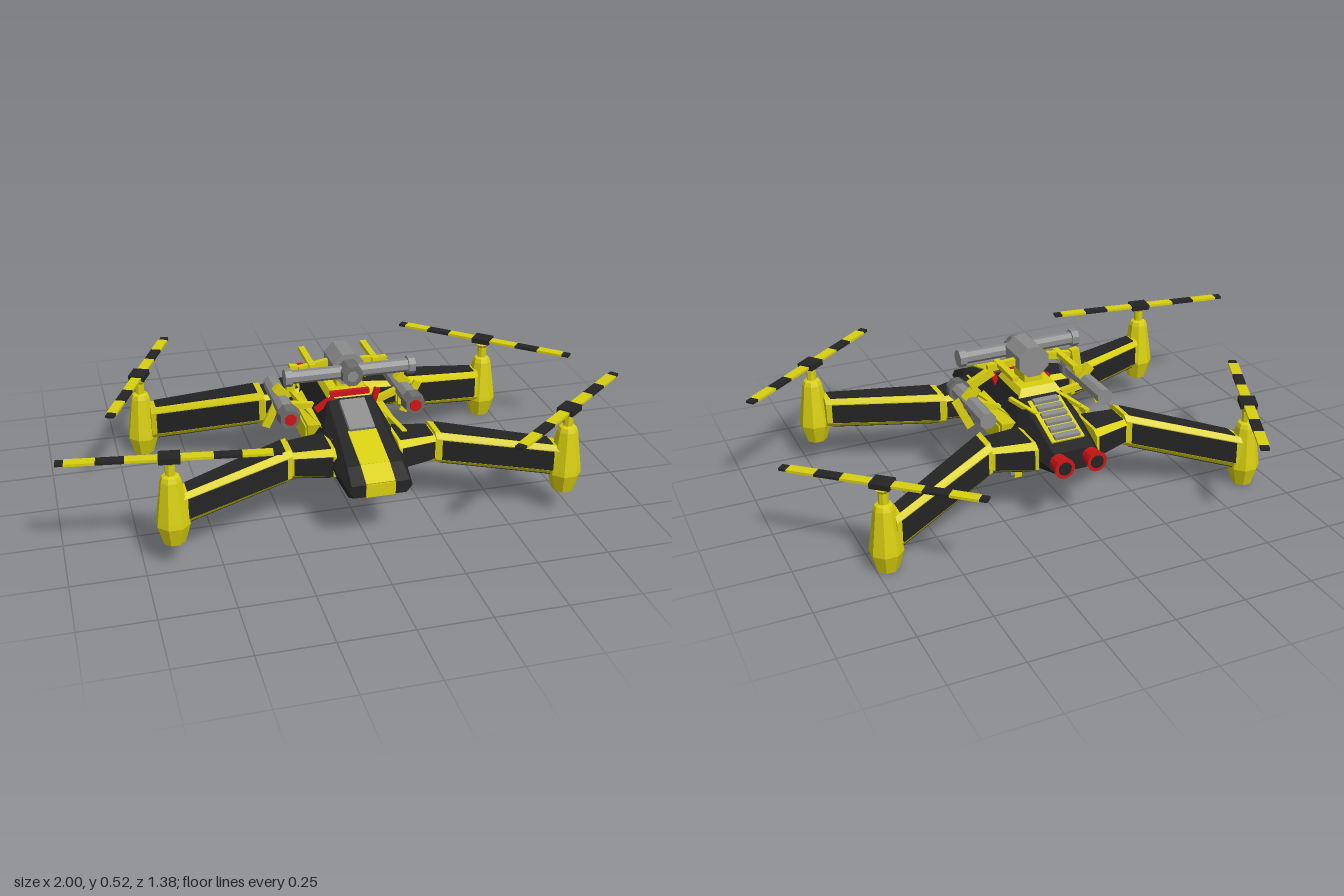
import * as THREE from 'three';
import { ConvexGeometry } from 'three/addons/geometries/ConvexGeometry.js';

const V = (x, y, z) => new THREE.Vector3(x, y, z);

export function createModel() {
  const material = (name, color) => {
    const m = new THREE.MeshStandardMaterial({ color, flatShading: true });
    m.name = name;
    return m;
  };
  const yellow = material('yellow', 0xd8cf10);
  const black = material('black', 0x242424);
  const grey = material('grey', 0x8c8c8c);
  const darkGrey = material('dark grey', 0x6c6c6c);
  const red = material('red', 0xd01414);

  const model = new THREE.Group();
  model.name = 'drone';
  const craft = new THREE.Group();
  craft.name = 'craft';
  craft.position.x = 0.03;
  model.add(craft);

  // ---- helpers ----
  const add = (name, geo, mat, parent = craft) => {
    const m = new THREE.Mesh(geo, mat);
    m.name = name;
    parent.add(m);
    return m;
  };
  const hull = (name, mat, pts, parent) => add(name, new ConvexGeometry(pts), mat, parent);
  const box = (name, mat, size, pos, parent) =>
    add(name, new THREE.BoxGeometry(...size).translate(...pos), mat, parent);
  // cylinder along an axis: r1 is the radius at the positive end
  const cyl = (name, mat, r1, r2, len, pos, axis = 'z', sides = 8) => {
    const g = new THREE.CylinderGeometry(r1, r2, len, sides).rotateY(Math.PI / sides);
    if (axis === 'z') g.rotateX(Math.PI / 2);
    if (axis === 'x') g.rotateZ(-Math.PI / 2);
    return add(name, g.translate(...pos), mat);
  };
  // thin plate on the quad a-b-c-d, shrunk by the fractions iu and iv
  const panel = (name, mat, [a, b, c, d], iu = 0.05, iv = 0.1, t = 0.004) => {
    const at = (u, v) => a.clone().lerp(b, u).lerp(d.clone().lerp(c, u), v);
    const n = c.clone().sub(a).cross(d.clone().sub(b)).setLength(t);
    const pts = [[iu, iv], [1 - iu, iv], [1 - iu, 1 - iv], [iu, 1 - iv]].map(([u, v]) => at(u, v));
    return hull(name, mat, pts.flatMap(p => [p.clone().add(n), p.clone().sub(n)]));
  };
  // square bar between two points
  const beam = (name, mat, a, b, w, h = w) => {
    const m = add(name, new THREE.BoxGeometry(w, h, a.distanceTo(b)), mat);
    m.position.copy(a).add(b).multiplyScalar(0.5);
    m.lookAt(b);
    return m;
  };

  // ---- fuselage: convex slices between six-sided rings ----
  const ring = ([z, hb, hm, ht, yb, ym, yt]) =>
    [[hb, yb], [hm, ym], [ht, yt]].flatMap(([h, y]) => [V(h, y, z), V(-h, y, z)]);
  const rings = [
    [0.51, 0.09, 0.11, 0.1, 0.19, 0.215, 0.235],
    [0.44, 0.09, 0.118, 0.095, 0.155, 0.23, 0.27],
    [0.28, 0.1, 0.14, 0.085, 0.16, 0.25, 0.315],
    [0.12, 0.1, 0.14, 0.08, 0.16, 0.25, 0.37],
    [-0.06, 0.1, 0.14, 0.08, 0.16, 0.25, 0.37],
    [-0.18, 0.1, 0.14, 0.08, 0.165, 0.25, 0.335],
    [-0.345, 0.07, 0.1, 0.075, 0.2, 0.235, 0.275],
  ].map(ring);
  for (let i = 0; i < rings.length - 1; i++) hull('fuselage', black, [...rings[i], ...rings[i + 1]]);
  const strip = (w, z0, y0, z1, y1) => [V(-w, y0, z0), V(w, y0, z0), V(w, y1, z1), V(-w, y1, z1)];
  panel('noseStripe', yellow, strip(0.05, 0.51, 0.236, 0.44, 0.271), 0, 0);
  panel('noseStripe', yellow, strip(0.05, 0.44, 0.271, 0.28, 0.316), 0, 0);
  panel('noseTip', yellow, strip(0.05, 0.511, 0.236, 0.511, 0.19), 0, 0);
  panel('windshield', grey, strip(0.045, 0.285, 0.322, 0.15, 0.37), 0, 0, 0.008);
  hull('belly', black, [[0.04, 0.17, 0.075], [-0.11, 0.17, 0.075], [0.015, 0.11, 0.055], [-0.075, 0.11, 0.055]]
    .flatMap(([z, y, w]) => [V(w, y, z), V(-w, y, z)]));

  // canopy roof and its red rim
  hull('roof', yellow, [[0.125, 0.365, 0.082], [-0.075, 0.365, 0.082], [0.11, 0.392, 0.066], [-0.055, 0.392, 0.066]]
    .flatMap(([z, y, w]) => [V(w, y, z), V(-w, y, z)]));
  beam('canopyRim', red, V(-0.07, 0.387, 0.12), V(0.07, 0.387, 0.12), 0.018);

  // rear deck louvres
  panel('louvreBed', yellow, strip(0.062, -0.1, 0.36, -0.3, 0.293), 0, 0, 0.004);
  for (let i = 0; i < 6; i++) {
    const slat = box('louvre', grey, [0.095, 0.018, 0.024], [0, 0, 0]);
    slat.position.set(0, 0.36 - i * 0.0115, -0.115 - i * 0.034);
    slat.rotation.x = -0.15;
  }

  // octagonal arm section at a given x
  const section = (x, y, z, h, w) =>
    [[0.7, 1], [1, 0.7], [1, -0.7], [0.7, -1], [-0.7, -1], [-1, -0.7], [-1, 0.7], [-0.7, 1]]
      .map(([a, b]) => V(x, y + b * h, z + a * w));
  // yellow chamfered strut with black panels on its four broad faces
  const strut = (name, p, q, iu, iv) => {
    hull(name, yellow, [...p, ...q]);
    for (const [i, j] of [[7, 0], [1, 2], [3, 4], [5, 6]])
      panel(name + 'Panel', black, [p[i], q[i], q[j], p[j]], iu, iv);
  };

  for (const s of [1, -1]) {
    // side panels, shoulder rails and rim edges
    const outer = [V(s * 0.155, 0.285, 0.14), V(s * 0.155, 0.285, -0.09), V(s * 0.155, 0.19, -0.09), V(s * 0.155, 0.19, 0.14)];
    hull('sidePanel', yellow, [...outer,
      V(s * 0.1, 0.305, 0.185), V(s * 0.1, 0.305, -0.13), V(s * 0.1, 0.17, -0.13), V(s * 0.1, 0.17, 0.185)]);
    panel('sidePlate', yellow, outer, 0.08, 0.14, 0.005);
    beam('deckRail', yellow, V(s * 0.125, 0.285, 0.28), V(s * 0.125, 0.295, -0.14), 0.018);
    beam('canopyRim', red, V(s * 0.07, 0.387, 0.12), V(s * 0.11, 0.32, 0.12), 0.018);
    beam('rearRail', yellow, V(s * 0.083, 0.365, -0.05), V(s * 0.083, 0.337, -0.17), 0.014);

    // arms and shoulders, front then rear
    strut('frontShoulder', section(s * 0.11, 0.235, 0.275, 0.055, 0.09), section(s * 0.26, 0.232, 0.265, 0.045, 0.06), 0.08, 0.02);
    strut('frontArm', section(s * 0.255, 0.232, 0.262, 0.057, 0.065), section(s * 0.65, 0.21, 0.437, 0.055, 0.043), 0.05, 0.04);
    strut('rearShoulder', section(s * 0.11, 0.24, -0.21, 0.055, 0.09), section(s * 0.26, 0.238, -0.185, 0.045, 0.06), 0.08, 0.02);
    strut('rearArm', section(s * 0.255, 0.24, -0.178, 0.06, 0.065), section(s * 0.65, 0.135, -0.348, 0.062, 0.043), 0.05, 0.04);

    // rear thrusters
    cyl('thruster', red, 0.03, 0.037, 0.045, [s * 0.06, 0.245, -0.378], 'z', 12);
    cyl('thrusterCollar', red, 0.03, 0.03, 0.05, [s * 0.06, 0.245, -0.345], 'z', 12);
    cyl('thrusterCore', black, 0.024, 0.024, 0.006, [s * 0.06, 0.245, -0.4], 'z', 12);

    // side barrels with red lenses
    const gx = s * 0.225;
    cyl('sideBarrel', grey, 0.031, 0.031, 0.28, [gx, 0.335, 0.005]);
    cyl('sideMuzzle', darkGrey, 0.036, 0.042, 0.045, [gx, 0.335, 0.155]);
    cyl('sideLens', red, 0.022, 0.022, 0.008, [gx, 0.335, 0.178]);
    // cranked struts carrying the barrels
    beam('barrelStrut', yellow, V(gx, 0.34, 0.025), V(s * 0.22, 0.4, 0.025), 0.03, 0.03);
    beam('barrelStrut', yellow, V(s * 0.22, 0.39, 0.025), V(s * 0.15, 0.455, 0.025), 0.026, 0.03);
    beam('barrelStrut', yellow, V(s * 0.16, 0.455, 0.025), V(s * 0.04, 0.465, 0.025), 0.02, 0.025);
    beam('barrelBracket', yellow, V(s * 0.255, 0.36, 0.025), V(s * 0.255, 0.235, 0.025), 0.01, 0.03);
    beam('barrelMount', yellow, V(s * 0.1, 0.3, 0.025), V(gx, 0.325, 0.025), 0.022, 0.022);
    box('rackRail', yellow, [0.022, 0.016, 0.17], [s * 0.115, 0.465, -0.035]);

    // chin barrel legs
    beam('chinLeg', yellow, V(s * 0.075, 0.17, 0.13), V(s * 0.075, 0.055, 0.065), 0.028, 0.016);
    box('chinLeg', yellow, [0.028, 0.1, 0.032], [s * 0.075, 0.085, -0.03]);
    box('chinLeg', yellow, [0.022, 0.018, 0.12], [s * 0.075, 0.055, 0.02]);
    cyl('chinPivot', grey, 0.018, 0.018, 0.016, [s * 0.096, 0.055, -0.03], 'x');
  }

  // ---- roof turret ----
  box('turretPedestal', yellow, [0.07, 0.06, 0.09], [0, 0.405, 0.03]);
  cyl('turret', grey, 0.06, 0.06, 0.125, [0, 0.468, 0.0425]);
  cyl('turretMuzzle', darkGrey, 0.038, 0.044, 0.06, [0, 0.465, 0.133]);
  cyl('turretBore', grey, 0.02, 0.02, 0.006, [0, 0.465, 0.163]);
  cyl('crossbar', grey, 0.024, 0.024, 0.44, [0, 0.468, 0.12], 'x');
  for (const s of [1, -1]) cyl('crossbarEnd', grey, 0.032, 0.032, 0.025, [s * 0.22, 0.468, 0.12], 'x');

  // ---- chin barrel ----
  cyl('chinBarrel', grey, 0.042, 0.042, 0.09, [0, 0.06, 0.065]);
  cyl('chinNeck', darkGrey, 0.03, 0.03, 0.06, [0, 0.06, 0.13]);
  cyl('chinMuzzle', grey, 0.04, 0.04, 0.03, [0, 0.06, 0.173]);
  cyl('chinBore', black, 0.022, 0.022, 0.006, [0, 0.06, 0.188]);
  cyl('chinAxle', grey, 0.016, 0.016, 0.18, [0, 0.055, 0.05], 'x');
  cyl('chinAxle', grey, 0.014, 0.014, 0.16, [0, 0.055, -0.03], 'x');

  // ---- motor pods and propellers ----
  const podProfile = [[0, 0], [0.038, 0], [0.058, 0.068], [0.056, 0.085], [0.036, 0.225], [0.03, 0.24],
    [0.017, 0.245], [0.017, 0.285], [0.026, 0.297], [0, 0.297]].map(p => new THREE.Vector2(...p));
  const bladeParts = [[0.03, 0.14, yellow], [0.14, 0.23, black], [0.23, 0.328, yellow], [0.328, 0.355, black]];
  for (const [name, x, y, z, dx, dz] of [
    ['frontLeft', 0.68, 0.09, 0.453, 0.27, -0.22], ['frontRight', -0.68, 0.09, 0.453, 0.35, 0.05],
    ['rearLeft', 0.68, 0, -0.357, 0.26, 0.23], ['rearRight', -0.68, 0.003, -0.357, 0.14, -0.32],
  ]) {
    const pod = new THREE.Group();
    pod.name = name + 'Motor';
    pod.position.set(x, y, z);
    craft.add(pod);
    add('motorPod', new THREE.LatheGeometry(podProfile, 8).rotateY(Math.PI / 8), yellow, pod);
    const prop = new THREE.Group();
    prop.name = name + 'Propeller';
    prop.position.y = y > 0.05 ? 0.305 : 0.317;
    prop.rotation.y = Math.atan2(-dz, dx);
    pod.add(prop);
    box('propellerHub', black, [0.07, 0.02, 0.06], [0, 0, 0], prop);
    for (const s of [1, -1]) for (const [a, b, mat] of bladeParts)
      box('propellerBlade', mat, [b - a, 0.009, b > 0.35 ? 0.03 : 0.037], [s * (a + b) / 2, 0, 0], prop);
  }
  return model;
}
